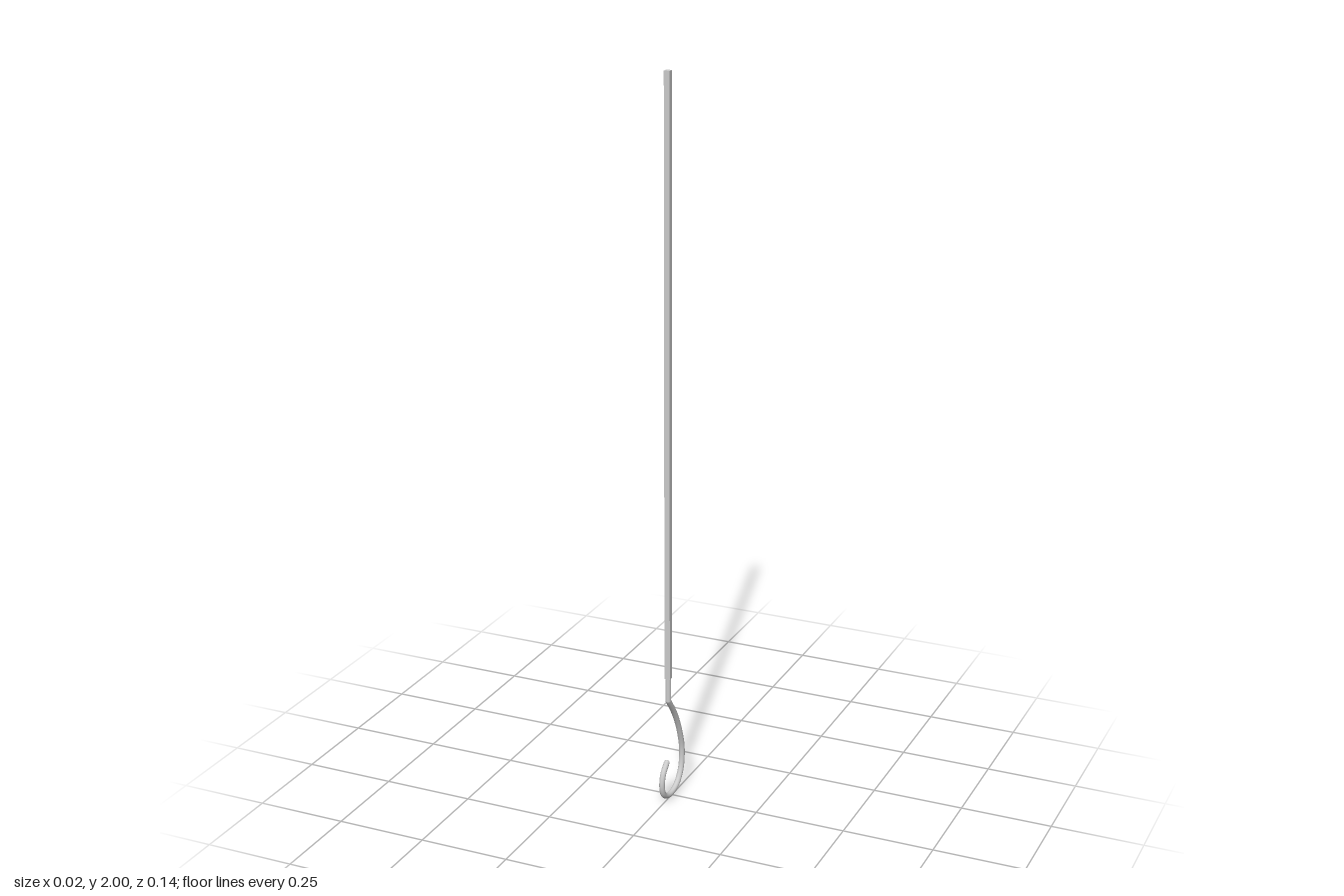
import * as THREE from 'three';

export function createModel() {
  const group = new THREE.Group();
  const material = new THREE.MeshStandardMaterial({ color: 0xcccccc });
  const wire = 0.0078;
  const rodX = -0.001, rodZ = 0.021;
  const rodBottom = 0.36, top = 2, bendY = 0.294;

  const add = (name, geometry, x = 0, y = 0, z = 0) => {
    const mesh = new THREE.Mesh(geometry, material);
    mesh.name = name;
    mesh.position.set(x, y, z);
    group.add(mesh);
  };

  // Long straight handle of square bar, as wide as the wire
  add('handleRod', new THREE.BoxGeometry(2 * wire, top - rodBottom, 2 * wire), rodX, (top + rodBottom) / 2, rodZ);

  // Round neck between the handle and the bend
  add('neck', new THREE.CylinderGeometry(wire, wire, rodBottom - bendY, 16), rodX, (rodBottom + bendY) / 2, rodZ);
  add('bend', new THREE.SphereGeometry(wire, 16, 12), rodX, bendY, rodZ);

  // Curled hook, its plane turned slightly about the vertical: [z, y]
  const path = [
    [rodZ, bendY], [-0.017, 0.239], [-0.046, 0.177], [-0.062, 0.112],
    [-0.054, 0.053], [-0.026, 0.018], [0.016, 0.008], [0.048, 0.022],
    [0.059, 0.05], [0.053, 0.085], [0.031, 0.112],
  ].map(([z, y]) => new THREE.Vector3(-0.045 * z, y, z));
  const curve = new THREE.CatmullRomCurve3(path);
  add('hook', new THREE.TubeGeometry(curve, 96, wire, 16));

  // Rounded tip closing the hook
  add('hookTip', new THREE.SphereGeometry(wire, 16, 12), ...path[path.length - 1].toArray());

  return group;
}
